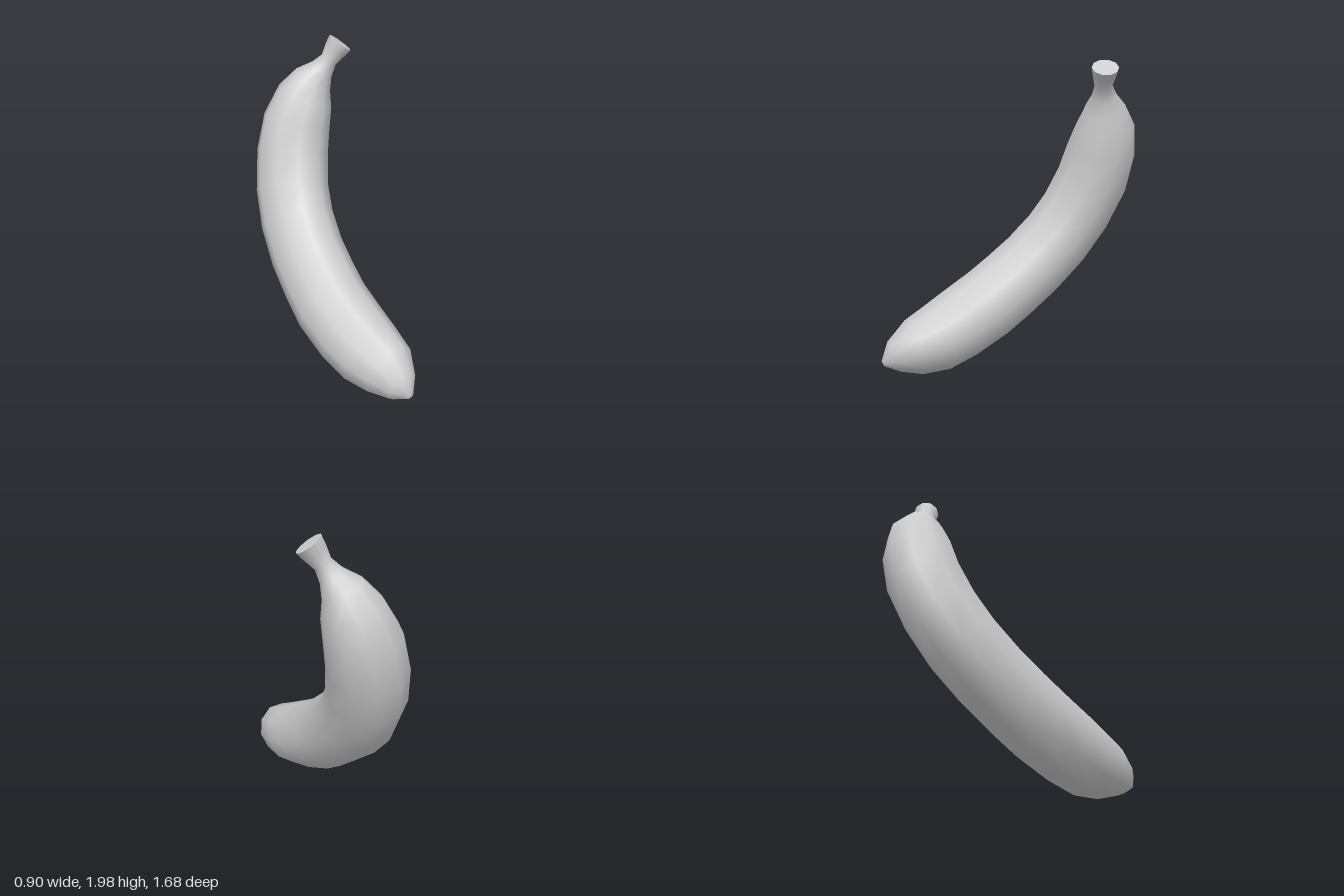
import * as THREE from 'three';
import { toCreasedNormals } from 'three/addons/utils/BufferGeometryUtils.js';

const SIDES = 10;
// Normal of the plane the fruit bends in
const BEND_NORMAL = new THREE.Vector3(0.94, -0.335, -0.02);

// Cross-sections from blossom tip to stem: x, y, z, half width, half depth
const SECTIONS = [
  [-0.28, 0.135, 0.835, 0.02, 0.02],
  [-0.275, 0.165, 0.76, 0.1, 0.11],
  [-0.25, 0.205, 0.63, 0.175, 0.19],
  [-0.237, 0.24, 0.46, 0.215, 0.233],
  [-0.225, 0.305, 0.29, 0.232, 0.25],
  [-0.2, 0.41, 0.08, 0.24, 0.257],
  [-0.165, 0.515, -0.07, 0.24, 0.257],
  [-0.12, 0.65, -0.24, 0.24, 0.257],
  [-0.06, 0.82, -0.4, 0.24, 0.257],
  [0.005, 1.005, -0.515, 0.24, 0.255],
  [0.083, 1.225, -0.59, 0.24, 0.25],
  [0.145, 1.425, -0.605, 0.23, 0.232],
  [0.205, 1.595, -0.58, 0.185, 0.2],
  [0.24, 1.71, -0.535, 0.13, 0.14],
  [0.28, 1.785, -0.49, 0.077, 0.083],
  [0.31, 1.85, -0.455, 0.055, 0.058],
  [0.345, 1.915, -0.43, 0.075, 0.075],
  [0.37, 1.96, -0.41, 0.085, 0.085],
];

// Skin: rings set square to the centre line, closed at both ends
function skinGeometry() {
  const centres = SECTIONS.map(([x, y, z]) => new THREE.Vector3(x, y, z));
  const last = centres.length - 1;
  const pos = [], index = [];
  centres.forEach((c, i) => {
    const t = centres[Math.min(i + 1, last)].clone().sub(centres[Math.max(i - 1, 0)]).normalize();
    const side = BEND_NORMAL.clone().addScaledVector(t, -BEND_NORMAL.dot(t)).normalize();
    const up = t.clone().cross(side);
    const [, , , w, d] = SECTIONS[i];
    for (let j = 0; j < SIDES; j++) {
      const a = ((j + 0.5) / SIDES) * Math.PI * 2;
      const p = c.clone().addScaledVector(side, w * Math.cos(a)).addScaledVector(up, d * Math.sin(a));
      pos.push(p.x, p.y, p.z);
    }
  });
  for (let i = 0; i < last; i++) {
    for (let j = 0; j < SIDES; j++) {
      const k = (j + 1) % SIDES;
      const a = i * SIDES + j, b = i * SIDES + k;
      index.push(a, b, b + SIDES, a, b + SIDES, a + SIDES);
    }
  }
  // End caps
  const tip = pos.length / 3;
  pos.push(...centres[0].toArray(), ...centres[last].toArray());
  for (let j = 0; j < SIDES; j++) {
    const k = (j + 1) % SIDES;
    index.push(tip, k, j, tip + 1, last * SIDES + j, last * SIDES + k);
  }
  const g = new THREE.BufferGeometry();
  g.setAttribute('position', new THREE.Float32BufferAttribute(pos, 3));
  g.setIndex(index);
  return toCreasedNormals(g, 1.1);
}

export function createModel() {
  const group = new THREE.Group();
  group.name = 'banana';
  const skin = new THREE.Mesh(skinGeometry(), new THREE.MeshStandardMaterial({ color: 0xcccccc }));
  skin.name = 'bananaSkinAndStem';
  group.add(skin);
  return group;
}
